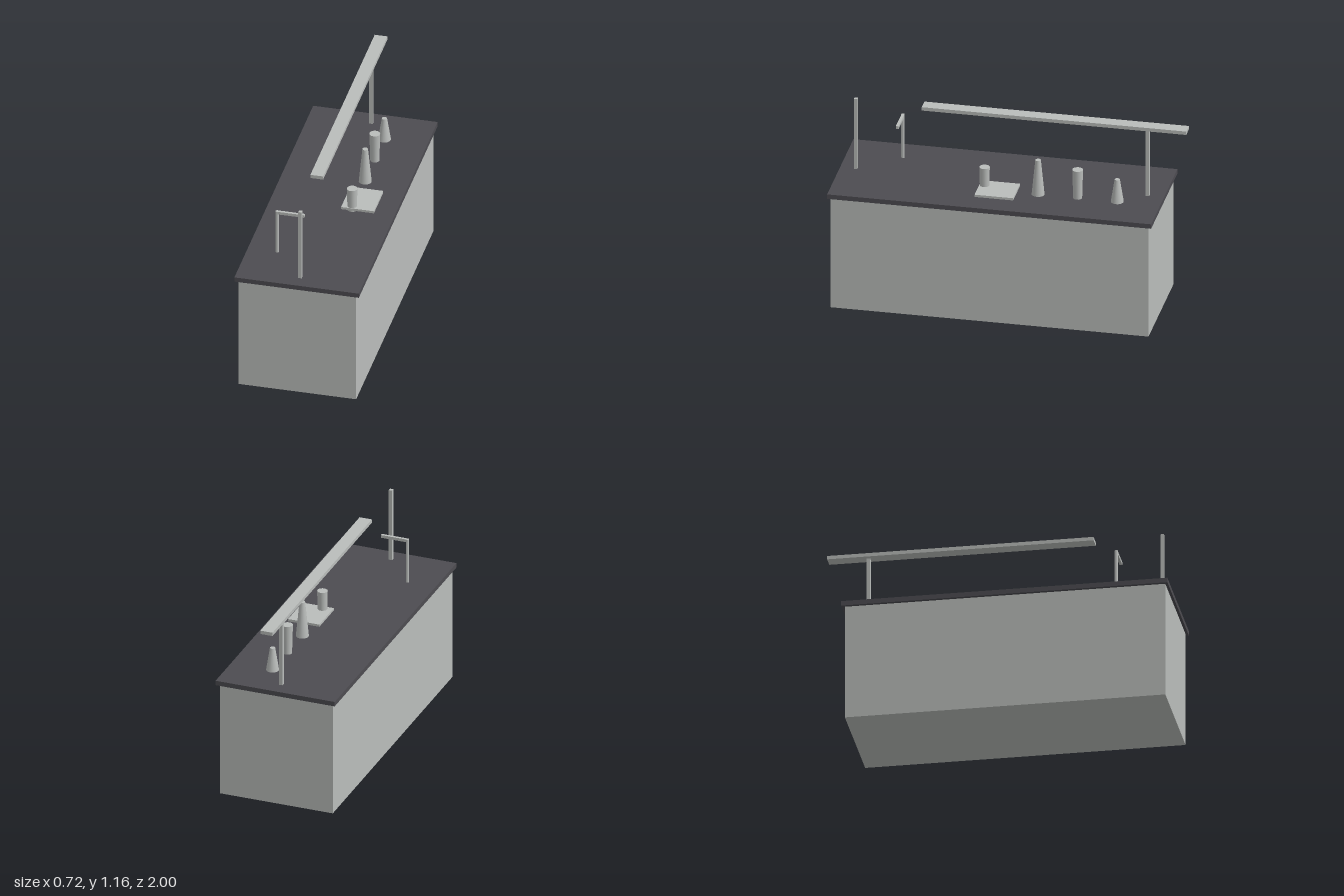
import * as THREE from 'three';

export function createModel() {
  const group = new THREE.Group();
  const material = (name, color) => {
    const m = new THREE.MeshStandardMaterial({ color });
    m.name = name;
    return m;
  };
  const grey = material('light grey', 0xbabdbb);
  const dark = material('dark worktop', 0x4d4c51);

  const add = (name, geometry, mat, x, y, z) => {
    const mesh = new THREE.Mesh(geometry, mat);
    mesh.name = name;
    mesh.position.set(x, y, z);
    group.add(mesh);
  };
  // Box given by its minimum and maximum corners
  const box = (name, mat, [x0, y0, z0], [x1, y1, z1]) =>
    add(name, new THREE.BoxGeometry(x1 - x0, y1 - y0, z1 - z0), mat,
      (x0 + x1) / 2, (y0 + y1) / 2, (z0 + z1) / 2);
  // Upright round part
  const round = (name, rTop, rBottom, y0, y1, x, z, sides = 16) =>
    add(name, new THREE.CylinderGeometry(rTop, rBottom, y1 - y0, sides), grey, x, (y0 + y1) / 2, z);

  // Island body and overhanging worktop
  const top = 0.716;
  box('cabinet', grey, [-0.342, 0, -0.847], [0.342, 0.688, 0.985]);
  box('worktop', dark, [-0.361, 0.688, -0.866], [0.361, top, 1]);

  // Overhead shelf and its posts
  box('overheadShelf', grey, [-0.037, 1.135, -1], [0.037, 1.156, 0.523]);
  box('backPost', grey, [-0.011, top, -0.781], [0.011, 1.135, -0.759]);
  box('frontPost', grey, [-0.01, top, 0.9], [0.01, 1.155, 0.92]);

  // Tap with a sideways spout
  round('tapPost', 0.01, 0.01, top, 0.987, -0.191, 0.679, 8);
  box('tapSpout', grey, [-0.191, 0.97, 0.671], [-0.033, 0.987, 0.687]);

  // Tray and the row of vessels
  box('tray', grey, [0.056, 0.728, -0.047], [0.246, 0.742, 0.175]);
  round('cup', 0.03, 0.027, top, 0.856, 0.113, 0.145);
  round('tallBottle', 0.016, 0.037, top, 0.931, 0.113, -0.163);
  round('beaker', 0.031, 0.026, top, 0.893, 0.113, -0.391);
  round('shortBottle', 0.015, 0.037, top, 0.855, 0.113, -0.619);

  return group;
}
